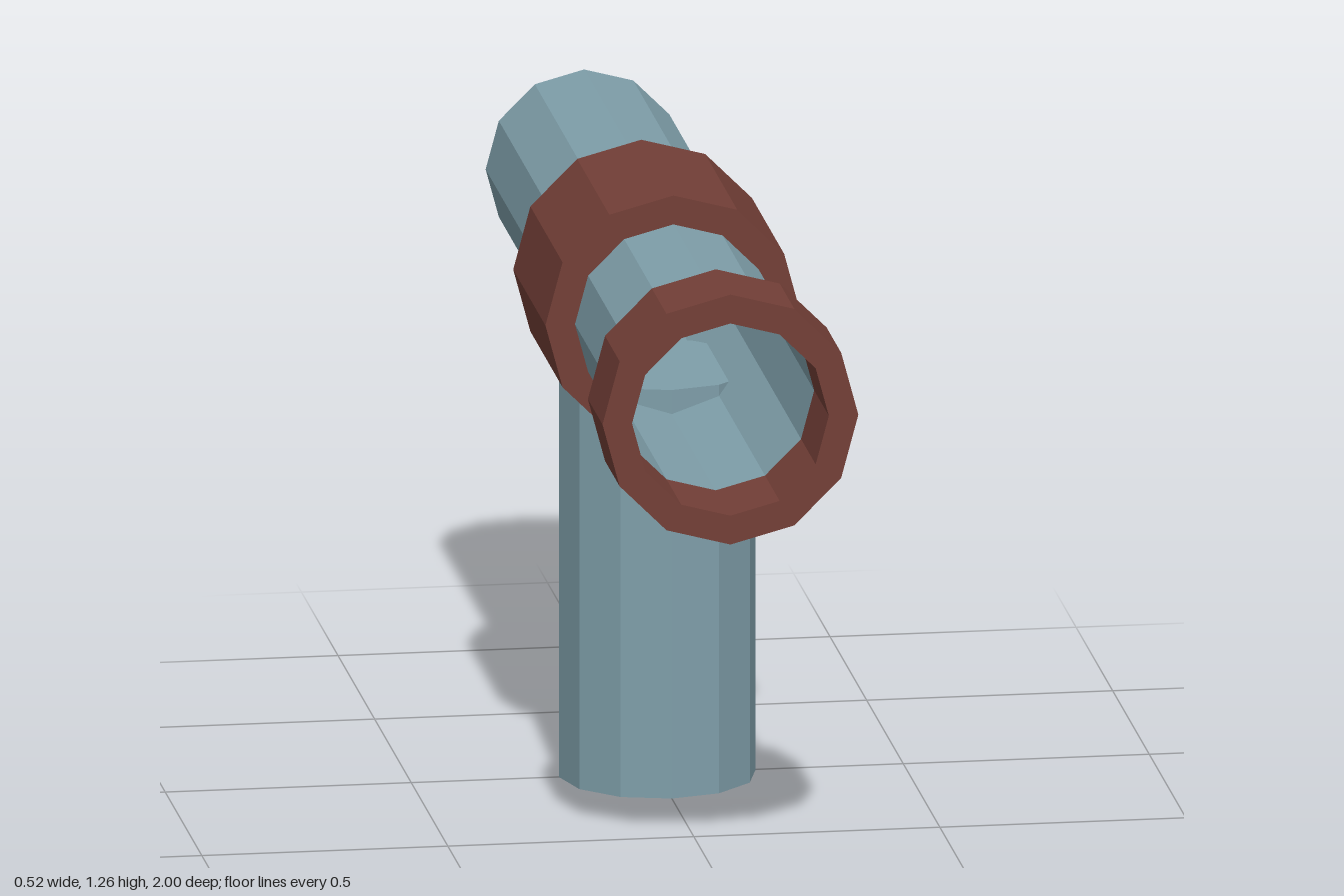
import * as THREE from 'three';

const SIDES = 12;
const RADIUS = 0.2;
const COLLAR_RADIUS = 0.26;
const AXIS_Y = 1;

// Low-poly solid of revolution from a [radius, height] profile
function turned(name, profile, material) {
  const points = profile.map(([r, h]) => new THREE.Vector2(r, h));
  const mesh = new THREE.Mesh(new THREE.LatheGeometry(points, SIDES), material);
  mesh.name = name;
  return mesh;
}

// Thin tube, open at its base and closed at its far end
function tube(name, length, material) {
  return turned(name, [[RADIUS, 0], [RADIUS, length], [0, length]], material);
}

// Ring around the horizontal pipe, with an inner wall where it is left exposed
function collar(name, z0, z1, material, innerWall) {
  const profile = [[RADIUS, z0], [COLLAR_RADIUS, z0], [COLLAR_RADIUS, z1], [RADIUS, z1]];
  if (innerWall) profile.push([RADIUS, z0]);
  const mesh = turned(name, profile, material);
  mesh.rotation.x = Math.PI / 2;
  mesh.position.y = AXIS_Y;
  return mesh;
}

export function createModel() {
  const steel = new THREE.MeshStandardMaterial({ color: 0x7f9faa, flatShading: true, side: THREE.DoubleSide });
  steel.name = 'blue grey steel';
  const rust = new THREE.MeshStandardMaterial({ color: 0x733f37, flatShading: true, side: THREE.DoubleSide });
  rust.name = 'rust red';

  const model = new THREE.Group();
  model.name = 'pipeTee';

  // Horizontal pipe: open at the front, closed at the back
  const pipe = tube('mainPipe', 1.8, steel);
  pipe.rotation.x = -Math.PI / 2;
  pipe.position.set(0, AXIS_Y, 0.8);

  // Vertical branch: open at the bottom, its top reaching into the pipe
  const branch = tube('branchPipe', 0.85, steel);

  model.add(
    pipe,
    branch,
    collar('jointCollar', -0.22, 0.22, rust, false),
    collar('mouthCollar', 0.8, 1, rust, true),
  );
  return model;
}
